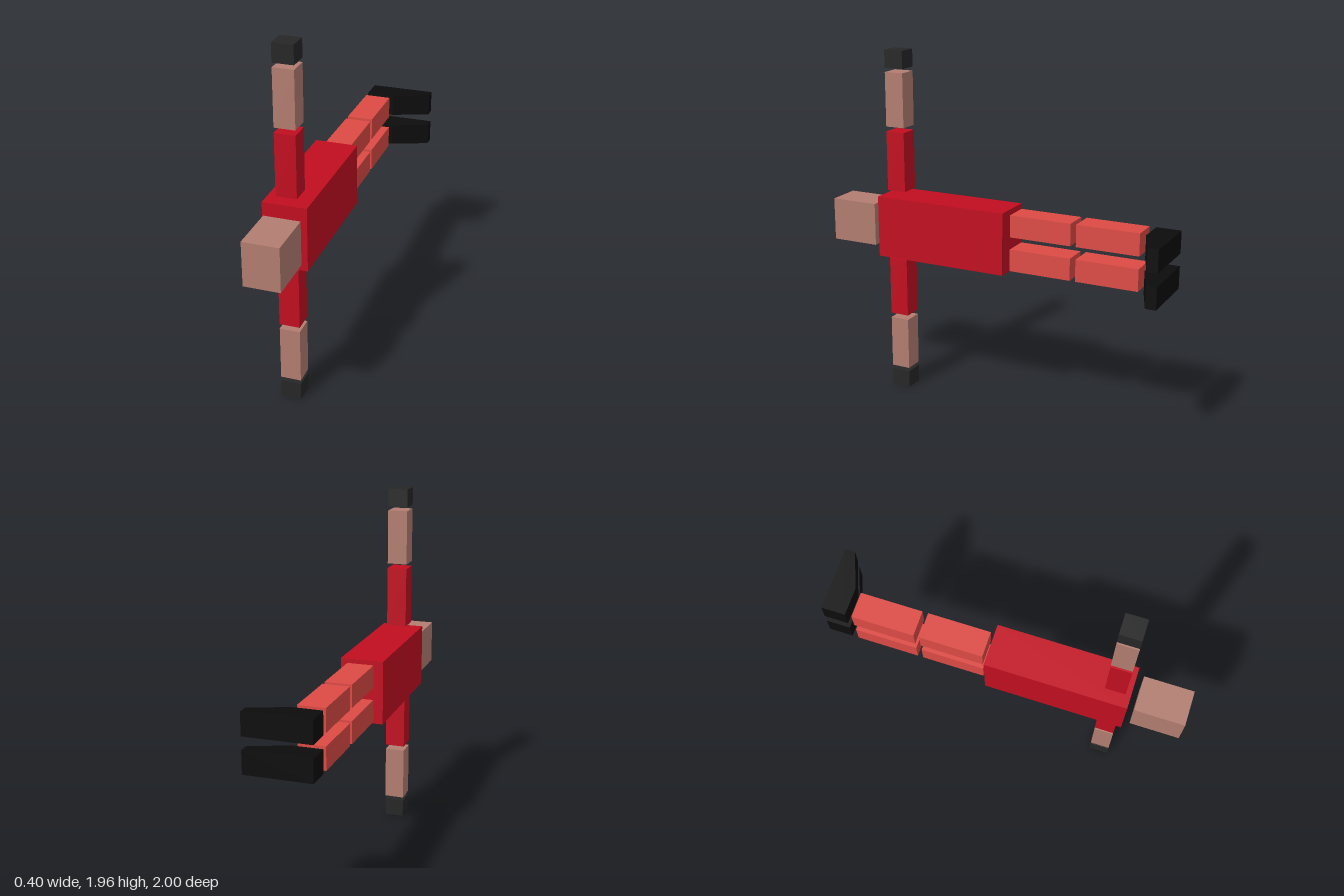
import * as THREE from 'three';

const MID_Y = 0.98; // height of the body's mirror plane

const material = (color) => new THREE.MeshStandardMaterial({ color, flatShading: true });

export function createModel() {
  const red = material(0xc20e20);
  const lightRed = material(0xdd4a44);
  const skin = material(0xb27d70);
  const glove = material(0x262626);
  const boot = material(0x0c0c0c);

  const model = new THREE.Group();
  model.name = 'lyingFigure';

  // Box from its extents along each axis; y is measured from the mirror plane
  function block(parent, name, mat, [x0, x1], [y0, y1], [z0, z1]) {
    const mesh = new THREE.Mesh(new THREE.BoxGeometry(x1 - x0, y1 - y0, z1 - z0), mat);
    mesh.position.set((x0 + x1) / 2, (y0 + y1) / 2, (z0 + z1) / 2);
    mesh.name = name;
    parent.add(mesh);
  }

  // Boot outline in x and -z, with a toe that tapers towards +x
  const outline = new THREE.Shape([
    [-0.157, 0.866], [0, 0.866], [0.2, 0.943], [0.2, 1], [-0.157, 1],
  ].map(([x, y]) => new THREE.Vector2(x, y)));
  const bootGeometry = new THREE.ExtrudeGeometry(outline, { depth: 0.122, bevelEnabled: false });
  bootGeometry.rotateX(-Math.PI / 2);

  const body = new THREE.Group();
  body.name = 'body';
  body.position.y = MID_Y;
  model.add(body);

  block(body, 'torso', red, [-0.202, 0.031], [-0.173, 0.173], [-0.08, 0.692]);
  block(body, 'head', skin, [-0.181, 0.012], [-0.12, 0.12], [0.728, 1]);

  // Limbs, one set above the mirror plane and one below
  for (const side of [1, -1]) {
    const label = side > 0 ? 'upper' : 'lower';
    const span = (a, b) => (side > 0 ? [a, b] : [-b, -a]);

    const arm = new THREE.Group();
    arm.name = `${label}SideArm`;
    const armX = [-0.14, -0.03];
    const armZ = [0.553, 0.663];
    block(arm, 'sleeve', red, armX, span(0.2, 0.533), armZ);
    block(arm, 'forearm', skin, armX, span(0.56, 0.86), armZ);
    block(arm, 'hand', glove, armX, span(0.882, 0.98), armZ);

    const leg = new THREE.Group();
    leg.name = `${label}SideLeg`;
    const legX = [-0.157, -0.013];
    const legY = span(0.034, 0.156);
    block(leg, 'thigh', lightRed, legX, legY, [-0.452, -0.103]);
    block(leg, 'shin', lightRed, legX, legY, [-0.83, -0.483]);
    const foot = new THREE.Mesh(bootGeometry, boot);
    foot.name = 'boot';
    foot.position.y = legY[0];
    leg.add(foot);

    body.add(arm, leg);
  }

  return model;
}
